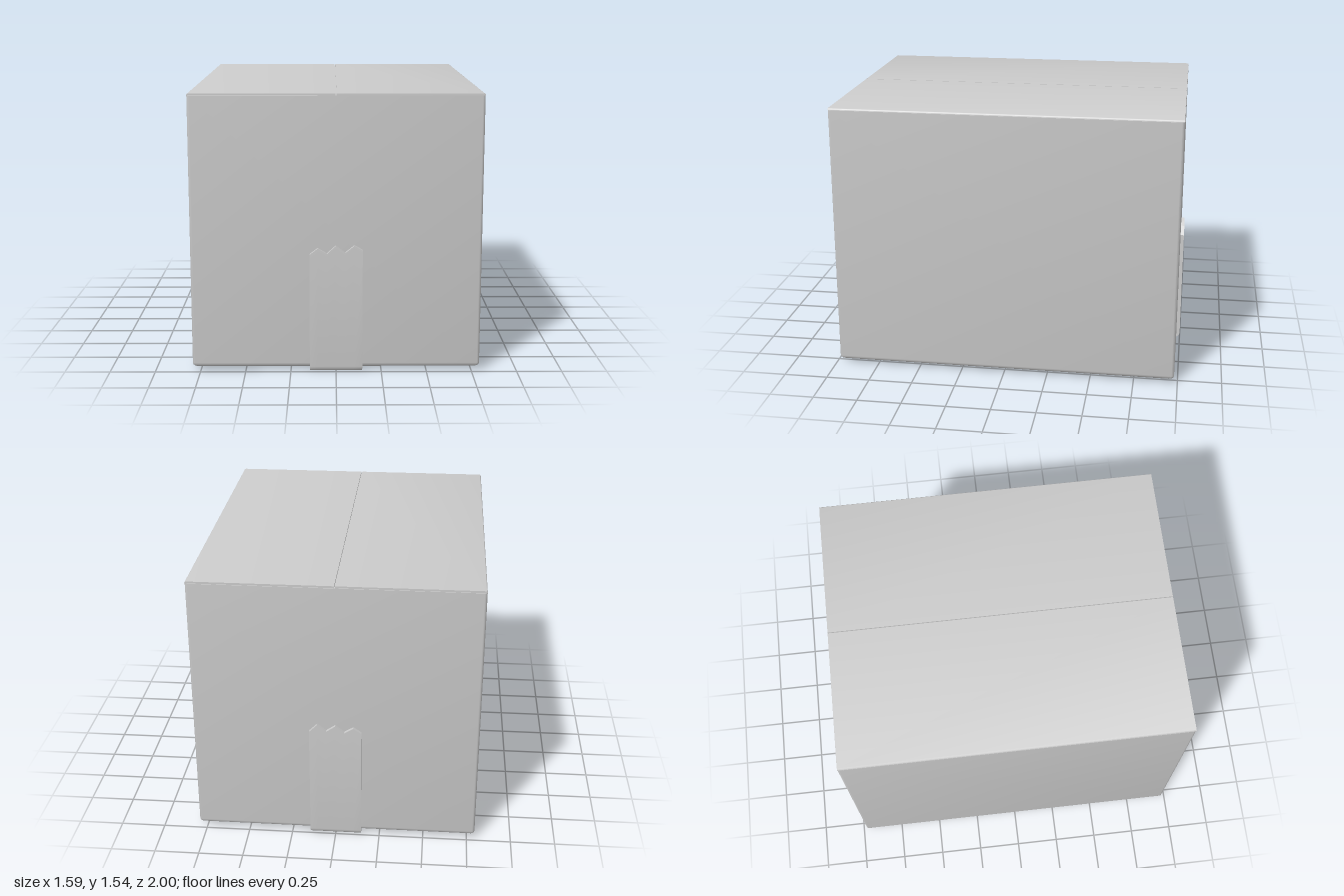
import * as THREE from 'three';
import { toCreasedNormals } from 'three/addons/utils/BufferGeometryUtils.js';

const card = new THREE.MeshStandardMaterial({ color: 0xcccccc });

// Skins closed rings of equal length and caps both ends with strips.
function loft(rings) {
  const n = rings[0].length, last = (rings.length - 1) * n, index = [];
  for (let r = 0; r < rings.length - 1; r++) {
    for (let i = 0; i < n; i++) {
      const a = r * n + i, b = r * n + (i + 1) % n;
      index.push(a, b + n, b, a, a + n, b + n);
    }
  }
  for (let i = 0; i < n / 2 - 1; i++) {
    const a = i, b = i + 1, c = n - 2 - i, d = n - 1 - i;
    index.push(a, b, c, a, c, d);
    index.push(last + a, last + c, last + b, last + a, last + d, last + c);
  }
  const geo = new THREE.BufferGeometry();
  geo.setAttribute('position', new THREE.Float32BufferAttribute(rings.flat(2), 3));
  geo.setIndex(index);
  return toCreasedNormals(geo, 0.7);
}

// Horizontal rounded rectangle at height y, shrunk by inset.
function bodyRing(y, inset) {
  const r = 0.015, w = 0.795 - inset - r, d = 0.98 - inset - r, ring = [];
  [[1, 1], [-1, 1], [-1, -1], [1, -1]].forEach(([sx, sz], q) => {
    for (let k = 0; k <= 4; k++) {
      const a = (q + k / 4) * Math.PI / 2;
      ring.push([sx * w + r * Math.cos(a), y, sz * d + r * Math.sin(a)]);
    }
  });
  return ring;
}

// U-shaped slice of the tape: back side, underside, front side.
function tapeRing(x, backTop, frontTop) {
  const r = 0.03, outer = [[x, backTop, -1]], inner = [];
  for (const side of [-1, 1]) {
    for (let k = 0; k <= 4; k++) {
      const a = (side < 0 ? 1 + k / 8 * 1 : 1.5 + k / 8) * Math.PI;
      const turn = side < 0 ? Math.PI + k / 4 * Math.PI / 2 : a;
      outer.push([x, r + r * Math.sin(turn), side * (1 - r) + r * Math.cos(turn)]);
    }
  }
  outer.push([x, frontTop, 1]);
  for (const [, y, z] of outer) {
    inner.unshift([x, Math.max(y, 0.03), THREE.MathUtils.clamp(z, -0.975, 0.975)]);
  }
  return [...outer, ...inner];
}

export function createModel() {
  const group = new THREE.Group();
  const add = (name, geo) => {
    const mesh = new THREE.Mesh(geo, card);
    mesh.name = name;
    group.add(mesh);
  };

  // Box walls with softly rounded lower edges
  const rings = [];
  for (let k = 0; k <= 4; k++) {
    const a = k / 4 * Math.PI / 2;
    rings.push(bodyRing(0.02 + 0.025 * (1 - Math.cos(a)), 0.025 * (1 - Math.sin(a))));
  }
  rings.push(bodyRing(1.528, 0));
  add('boxBody', loft(rings));

  // Two lid flaps folded over at the side edges, meeting at a narrow seam
  for (const s of [1, -1]) {
    const shape = new THREE.Shape();
    shape.moveTo(s * 0.003, 1.529);
    shape.lineTo(s * 0.795, 1.529);
    shape.quadraticCurveTo(s * 0.795, 1.54, s * 0.784, 1.54);
    shape.lineTo(s * 0.003, 1.54);
    shape.closePath();
    const geo = new THREE.ExtrudeGeometry(shape, { depth: 1.956, bevelEnabled: false, curveSegments: 4 });
    geo.translate(0, 0, -0.978);
    add(s > 0 ? 'leftFlap' : 'rightFlap', toCreasedNormals(geo, 0.7));
  }

  // Packing tape under the box with torn, zigzag ends
  const xs = [-0.145, -0.1, -0.05, 0, 0.05, 0.1, 0.145];
  const front = [0.665, 0.7, 0.67, 0.715, 0.675, 0.715, 0.69];
  const back = [0.67, 0.7, 0.67, 0.71, 0.675, 0.715, 0.67];
  add('tape', loft(xs.map((x, i) => tapeRing(x, back[i], front[i]))));

  return group;
}
